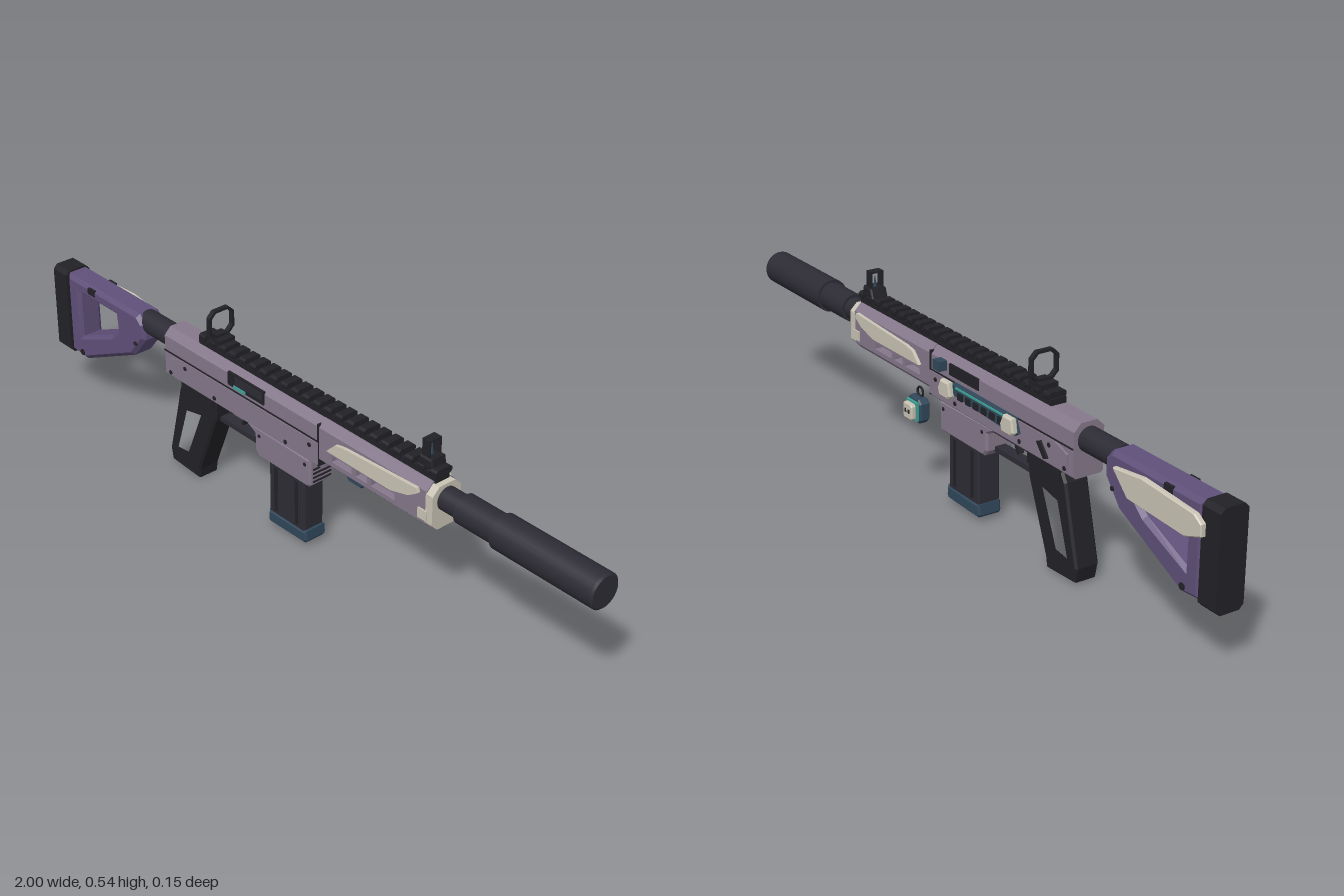
import * as THREE from 'three';

const mat = (name, color) => {
  const m = new THREE.MeshStandardMaterial({ color });
  m.name = name;
  return m;
};

export function createModel() {
  const mauve = mat('mauve grey', 0x85788b);
  const purple = mat('purple', 0x5f5079);
  const dark = mat('charcoal', 0x2d2c35);
  const black = mat('black', 0x222126);
  const cream = mat('cream', 0xc9c4b4);
  const blue = mat('slate blue', 0x30475a);
  const teal = mat('teal', 0x3fa298);

  const root = new THREE.Group();
  root.name = 'blaster';
  const body = new THREE.Group(); // local z = 0 is the bore plane
  body.name = 'body';
  body.position.z = 0.02;
  root.add(body);

  const add = (name, geo, material, x = 0, y = 0, z = 0) => {
    const m = new THREE.Mesh(geo, material);
    m.name = name;
    m.position.set(x, y, z);
    body.add(m);
    return m;
  };
  const V = (pts) => pts.map(([x, y]) => new THREE.Vector2(x, y));
  // box from x, y and z ranges
  const box = (name, material, x0, x1, y0, y1, z0, z1) =>
    add(name, new THREE.BoxGeometry(x1 - x0, y1 - y0, z1 - z0), material, (x0 + x1) / 2, (y0 + y1) / 2, (z0 + z1) / 2);
  // side outline extruded across the width, with chamfered edges
  const slab = (name, material, pts, z0, z1, bevel = 0, holes = []) => {
    const s = new THREE.Shape(V(pts));
    for (const h of holes) s.holes.push(new THREE.Path(V(h)));
    const g = new THREE.ExtrudeGeometry(s, {
      depth: z1 - z0 - 2 * bevel, bevelEnabled: bevel > 0, bevelSize: bevel,
      bevelThickness: bevel, bevelOffset: -bevel, bevelSegments: 1,
    });
    return add(name, g, material, 0, 0, z0 + bevel);
  };
  // end-on outline (z, y) extruded along x
  const prism = (name, material, pts, x0, x1) => {
    const g = new THREE.ExtrudeGeometry(new THREE.Shape(V(pts.map(([z, y]) => [-z, y]))), { depth: x1 - x0, bevelEnabled: false });
    g.rotateY(Math.PI / 2);
    return add(name, g, material, x0);
  };
  // octagon-like outline with half width w and separate bottom and top chamfers
  const oct = (w, y0, y1, b, t) => [
    [w, y0 + b], [w, y1 - t], [w - t, y1], [t - w, y1], [-w, y1 - t], [-w, y0 + b], [b - w, y0], [w - b, y0],
  ];
  // round parts lying along x, from (x, radius) points
  const turned = (name, material, pts, y) => {
    const g = new THREE.LatheGeometry(V(pts.map(([x, r]) => [r, x])), 28);
    g.rotateZ(-Math.PI / 2);
    return add(name, new THREE.BufferGeometry().copy(g), material, 0, y);
  };
  const tube = (name, material, x0, x1, r) => {
    const c = Math.min(0.005, (x1 - x0) / 4);
    const g = new THREE.CylinderGeometry(r, r, x1 - x0 - c, 28).rotateZ(-Math.PI / 2);
    add(name, g, material, (x0 + x1 - c) / 2, 0.372);
    const e = new THREE.CylinderGeometry(r - c, r, c, 28).rotateZ(-Math.PI / 2);
    add(name + 'Rim', e, material, x1 - c / 2, 0.372);
  };
  const screw = (x, y, z, r = 0.007, material = black) =>
    add('screw', new THREE.CylinderGeometry(r, r, 0.004, 10).rotateX(Math.PI / 2), material, x, y, z);

  // Stock
  prism('buttPad', black, oct(0.039, 0.15, 0.405, 0.012, 0.012), -1, -0.94);
  slab('stock', purple,
    [[-0.94, 0.16], [-0.875, 0.155], [-0.65, 0.262], [-0.595, 0.33], [-0.595, 0.378], [-0.62, 0.4], [-0.94, 0.4]],
    -0.037, 0.037, 0.011,
    [[[-0.888, 0.222], [-0.888, 0.358], [-0.72, 0.358], [-0.715, 0.312], [-0.745, 0.285]]]);
  slab('stockPlate', cream,
    [[-0.645, 0.372], [-0.7, 0.315], [-0.9, 0.305], [-0.955, 0.325], [-0.955, 0.355], [-0.93, 0.372], [-0.75, 0.385]],
    -0.053, -0.037, 0.003);
  box('stockLatch', black, -0.84, -0.81, 0.378, 0.395, -0.039, 0.039);
  for (const z of [-0.038, 0.038]) { screw(-0.885, 0.175, z, 0.009); screw(-0.63, 0.31, z, 0.006); }
  tube('bufferTube', dark, -0.62, -0.485, 0.032);

  // Receiver
  prism('receiver', mauve, oct(0.043, 0.278, 0.416, 0.006, 0.02), -0.49, 0.12);
  for (const s of [-1, 1]) {
    const z = s * 0.045;
    slab('receiverSidePanel', mauve, [[-0.47, 0.29], [0.12, 0.29], [0.12, 0.352], [-0.42, 0.352], [-0.47, 0.335]], z - 0.003, z + 0.003);
    box('receiverSeam', black, -0.49, 0.115, 0.353, 0.356, z - 0.0015, z + 0.0015);
    for (const [x, y] of [[-0.462, 0.298], [-0.28, 0.3], [0, 0.3], [0.09, 0.335], [-0.4, 0.335]]) screw(x, y, s * 0.048, 0.006);
  }
  box('handguardSeam', black, 0.116, 0.122, 0.285, 0.405, -0.046, 0.046);

  // Ejection port
  box('ejectionPort', black, -0.225, -0.085, 0.366, 0.404, 0.04, 0.047);
  box('bolt', dark, -0.195, -0.09, 0.378, 0.4, 0.045, 0.049);
  box('boltStripe', teal, -0.2, -0.155, 0.366, 0.374, 0.045, 0.05);

  // Magazine well with ridged front
  slab('magazineWell', mauve, [[-0.13, 0.215], [-0.115, 0.198], [0.075, 0.198], [0.083, 0.206], [0.083, 0.282], [-0.16, 0.282], [-0.13, 0.262]], -0.041, 0.041, 0.006);
  for (let i = 0; i < 4; i++) box('wellRidge', black, 0.08, 0.086, 0.212 + i * 0.012, 0.216 + i * 0.012, -0.03, 0.03);
  for (const z of [-0.041, 0.041]) { screw(-0.11, 0.262, z, 0.005); screw(0.065, 0.262, z, 0.005); }

  // Magazine
  slab('magazine', dark, [[-0.083, 0.045], [0.053, 0.045], [0.053, 0.21], [-0.083, 0.21]], -0.033, 0.033, 0.005);
  for (const z of [-0.0335, 0.0335]) for (const x of [-0.055, 0.025]) box('magazineRib', black, x - 0.005, x + 0.005, 0.06, 0.19, z - 0.002, z + 0.002);
  slab('magazineBase', blue, [[-0.088, 0.02], [-0.08, 0.012], [0.054, 0.014], [0.062, 0.024], [0.06, 0.052], [-0.085, 0.05]], -0.035, 0.035, 0.006);

  // Skeleton grip, guard and trigger
  slab('grip', black,
    [[-0.448, 0.25], [-0.43, 0.28], [-0.292, 0.28], [-0.298, 0.215], [-0.372, 0.03], [-0.377, 0.0], [-0.49, 0.006], [-0.498, 0.045], [-0.462, 0.19]],
    -0.034, 0.034, 0.006,
    [[[-0.423, 0.2], [-0.35, 0.213], [-0.412, 0.06], [-0.468, 0.055]]]);
  box('gripCollar', black, -0.43, -0.3, 0.25, 0.282, -0.039, 0.039);
  box('triggerGuard', dark, -0.305, -0.125, 0.21, 0.224, -0.016, 0.016);
  box('triggerHousing', dark, -0.3, -0.13, 0.266, 0.282, -0.025, 0.025);
  slab('trigger', black, [[-0.225, 0.275], [-0.2, 0.275], [-0.203, 0.25], [-0.215, 0.232], [-0.222, 0.235], [-0.213, 0.252]], -0.008, 0.008);

  // Handguard: upper and lower shells with open slots between
  prism('handguardTop', mauve, oct(0.045, 0.338, 0.417, 0.001, 0.02), 0.12, 0.495);
  prism('handguardBottom', mauve, oct(0.045, 0.29, 0.322, 0.018, 0.001), 0.12, 0.495);
  for (const [a, b] of [[0.12, 0.17], [0.24, 0.255], [0.295, 0.308], [0.39, 0.495]])
    box('handguardBridge', mauve, a, b, 0.321, 0.339, -0.045, 0.045);
  for (const z of [-0.051, 0.051])
    slab('handguardPlate', cream,
      [[0.16, 0.353], [0.19, 0.382], [0.22, 0.388], [0.47, 0.4], [0.475, 0.388], [0.445, 0.368], [0.385, 0.352]], z - 0.0049, z + 0.0049);
  prism('handguardCap', cream, oct(0.046, 0.295, 0.412, 0.018, 0.02), 0.493, 0.516);
  for (const z of [-0.045, 0.045]) box('capTab', cream, 0.47, 0.5, 0.318, 0.345, z - 0.004, z + 0.004);

  // Barrel and muzzle tube
  tube('barrel', dark, 0.51, 0.585, 0.031);
  tube('muzzleCollar', dark, 0.575, 0.7, 0.039);
  tube('muzzleTube', dark, 0.695, 1, 0.046);
  for (const [r, n] of [[0.03, 'muzzleRing'], [0.016, 'muzzleBore']])
    add(n, new THREE.TorusGeometry(r, 0.0015, 6, 24).rotateY(Math.PI / 2), black, 0.9985, 0.372);

  // Top rail with teeth
  box('rail', black, -0.37, 0.5, 0.412, 0.432, -0.022, 0.022);
  for (let i = 0; i < 22; i++) {
    const x = -0.365 + i * 0.0403;
    prism('railTooth', black, oct(0.026, 0.428, 0.447, 0.006, 0.005), x, x + 0.023);
  }

  // Rear ring sight
  box('rearSightBase', black, -0.335, -0.28, 0.44, 0.457, -0.024, 0.024);
  const ring = new THREE.Shape(V(oct(0.04, 0.457, 0.535, 0.017, 0.017)));
  ring.holes.push(new THREE.Path(V(oct(0.033, 0.464, 0.528, 0.014, 0.014))));
  add('rearSightRing', new THREE.ExtrudeGeometry(ring, { depth: 0.013, bevelEnabled: false }).rotateY(Math.PI / 2), black, -0.314);

  // Front post sight
  slab('frontSightBase', black, [[0.435, 0.44], [0.49, 0.44], [0.485, 0.468], [0.445, 0.468]], -0.024, 0.024, 0.004);
  for (const z of [-0.017, 0.017]) box('frontSightWing', black, 0.449, 0.474, 0.465, 0.512, z - 0.002, z + 0.002);
  box('frontSightBridge', black, 0.449, 0.474, 0.508, 0.512, -0.019, 0.019);
  add('frontSightPost', new THREE.CylinderGeometry(0.001, 0.005, 0.032, 8), blue, 0.462, 0.481);

  // Charging track, knobs and controls on the back side
  slab('chargingTrack', blue, [[-0.285, 0.322], [-0.27, 0.312], [0.005, 0.326], [0.015, 0.345], [0, 0.358], [-0.27, 0.358]], -0.058, -0.043, 0.003);
  box('trackStripe', teal, -0.25, -0.02, 0.349, 0.354, -0.061, -0.057);
  for (let i = 0; i < 6; i++) box('trackNotch', black, -0.225 + i * 0.035, -0.205 + i * 0.035, 0.324, 0.342, -0.062, -0.057);
  for (const x of [-0.255, 0.02])
    slab('chargingKnob', cream, [[x - 0.028, 0.325], [x - 0.018, 0.315], [x + 0.02, 0.315], [x + 0.028, 0.335], [x + 0.016, 0.36], [x - 0.022, 0.36]], -0.071, -0.053, 0.004);
  box('boltCatch', blue, 0.045, 0.075, 0.374, 0.4, -0.066, -0.042);
  box('backPort', black, -0.1, 0.03, 0.368, 0.398, -0.0465, -0.04);
  slab('selector', black, [[-0.4, 0.3], [-0.385, 0.295], [-0.355, 0.33], [-0.37, 0.336]], -0.054, -0.046);

  // Hanging charm
  add('charmLoop', new THREE.TorusGeometry(0.013, 0.003, 6, 16), black, 0.152, 0.283, -0.055);
  slab('charmCase', blue, [[0.12, 0.216], [0.131, 0.205], [0.174, 0.205], [0.185, 0.216], [0.185, 0.26], [0.174, 0.272], [0.131, 0.272], [0.12, 0.26]], -0.075, -0.046, 0.004);
  box('charmTrim', teal, 0.128, 0.177, 0.213, 0.264, -0.082, -0.074);
  slab('charmFace', cream, [[0.131, 0.222], [0.137, 0.216], [0.168, 0.216], [0.174, 0.222], [0.174, 0.254], [0.168, 0.26], [0.137, 0.26], [0.131, 0.254]], -0.095, -0.08, 0.003);
  for (const x of [0.145, 0.16]) box('charmEye', black, x - 0.003, x + 0.003, 0.234, 0.244, -0.0965, -0.094);

  return root;
}
